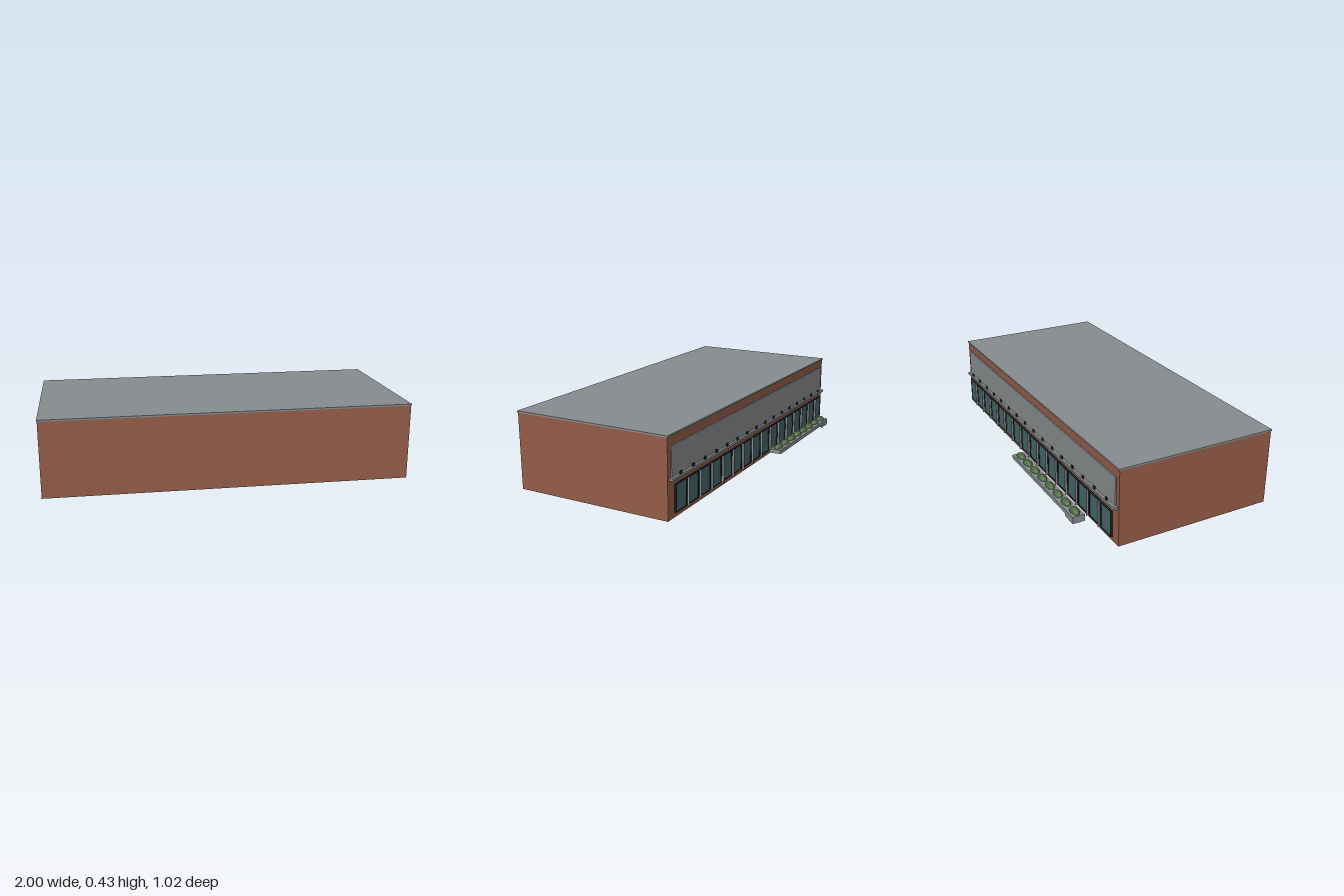
import * as THREE from 'three';

const mat = (name, color) => {
  const m = new THREE.MeshStandardMaterial({ color });
  m.name = name;
  return m;
};

export function createModel() {
  const brick = mat('brick', 0x965d49);
  const concrete = mat('concrete', 0x888d8f);
  const glass = mat('tealGlass', 0x46686c);
  const dark = mat('darkMetal', 0x1d2528);
  const green = mat('shrubGreen', 0x4d6b40);

  const model = new THREE.Group();
  model.name = 'storeBuilding';

  // Box given by its lower and upper limits on each axis
  const box = (name, material, [x0, x1], [y0, y1], [z0, z1], parent = model) => {
    const mesh = new THREE.Mesh(new THREE.BoxGeometry(x1 - x0, y1 - y0, z1 - z0), material);
    mesh.position.set((x0 + x1) / 2, (y0 + y1) / 2, (z0 + z1) / 2);
    mesh.name = name;
    parent.add(mesh);
    return mesh;
  };

  // Brick hall and flat roof slab
  box('walls', brick, [-0.997, 0.997], [0, 0.416], [-0.379, 0.509]);
  box('roof', concrete, [-1, 1], [0.416, 0.425], [-0.383, 0.512]);

  // Fascia in three sections above a long ledge
  const seams = [-0.97, -0.245, -0.12, 0.97];
  for (let i = 0; i < 3; i++) {
    box('fasciaPanel', concrete, [seams[i], seams[i + 1]], [0.205, 0.37], [-0.386, -0.378]);
  }
  box('ledge', concrete, [-0.985, 0.985], [0.2, 0.214], [-0.4, -0.378]);

  // Row of windows with frames, and a lamp on the ledge over each one
  const count = 16;
  const step = 0.12;
  for (let i = 0; i < count; i++) {
    const x = (i - (count - 1) / 2) * step;
    const bay = new THREE.Group();
    bay.name = 'windowBay';
    bay.position.x = x;
    model.add(bay);

    box('glassPane', glass, [-0.046, 0.046], [0.036, 0.173], [-0.395, -0.389], bay);
    for (const s of [-1, 1]) {
      const cx = s * 0.048;
      box('frameSide', dark, [cx - 0.004, cx + 0.004], [0.032, 0.177], [-0.397, -0.388], bay);
    }
    box('frameBottom', dark, [-0.048, 0.048], [0.032, 0.038], [-0.397, -0.388], bay);
    box('frameTop', dark, [-0.048, 0.048], [0.171, 0.177], [-0.397, -0.388], bay);
    box('lamp', dark, [-0.009, 0.009], [0.214, 0.229], [-0.397, -0.392], bay);

    // Slim post in the gap beside the window
    if (i < count - 1) {
      box('post', concrete, [0.057, 0.063], [0.03, 0.178], [-0.408, -0.396], bay);
    }
  }

  // Raised planter with a deeper end block
  const planter = new THREE.Group();
  planter.name = 'planter';
  model.add(planter);
  box('planterSlab', concrete, [-0.69, -0.02], [0.058, 0.08], [-0.512, -0.445], planter);
  box('planterEnd', concrete, [-0.775, -0.69], [0.042, 0.08], [-0.512, -0.445], planter);

  // Oval shrubs in a row
  const shrubShape = new THREE.SphereGeometry(1, 20, 12);
  for (let i = 0; i < 8; i++) {
    const shrub = new THREE.Mesh(shrubShape, green);
    shrub.name = 'shrub';
    shrub.scale.set(0.038, 0.022, 0.022);
    shrub.position.set(-0.73 + i * 0.095, 0.081, -0.479);
    planter.add(shrub);
  }

  return model;
}
